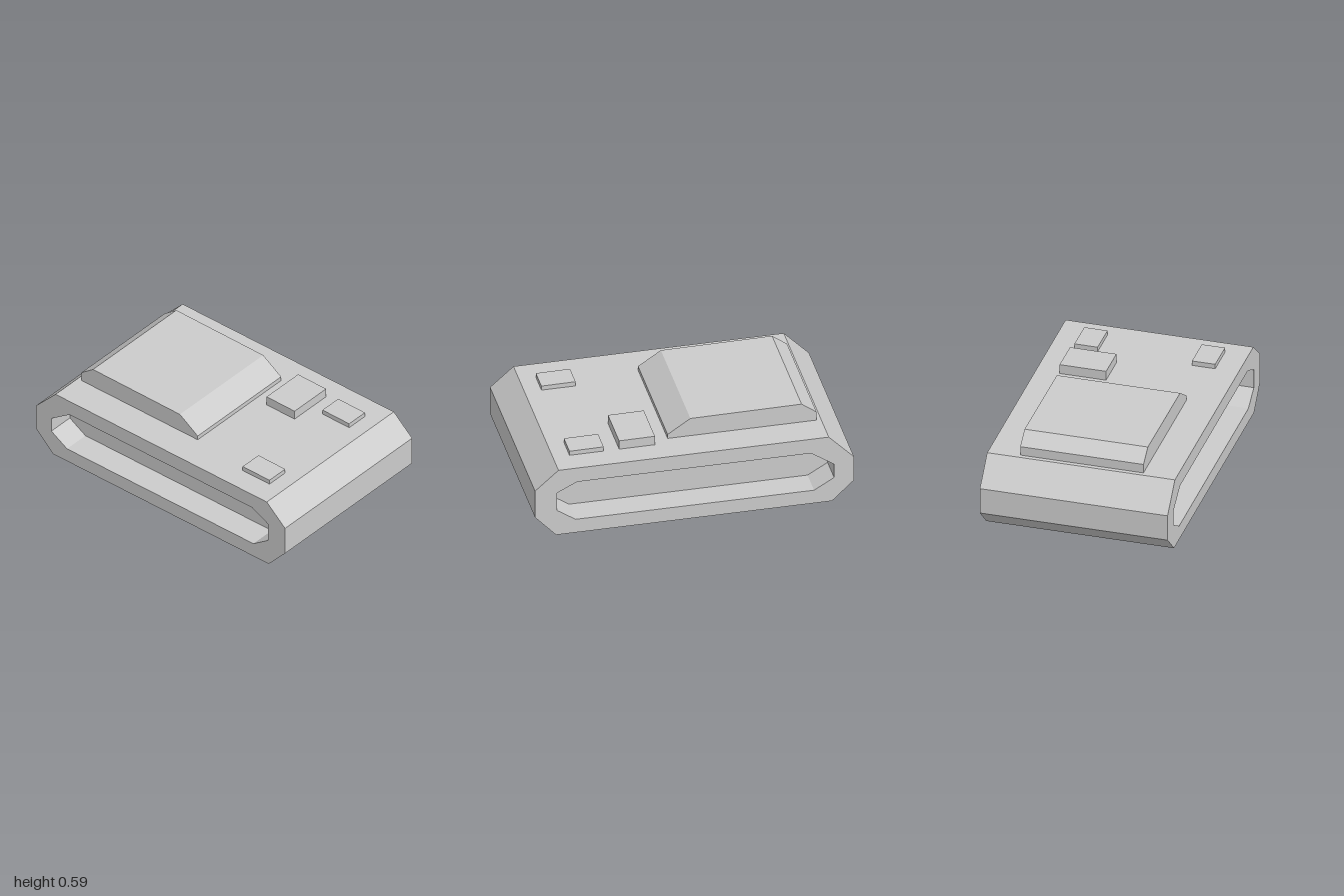
import * as THREE from 'three';

const HALF_WIDTH = 0.585;
const RECESS = 0.17;

export function createModel() {
  const model = new THREE.Group();
  model.name = 'trackedVehicle';
  const material = new THREE.MeshStandardMaterial({ color: 0xcccccc, flatShading: true });

  const add = (name, geometry) => {
    const mesh = new THREE.Mesh(geometry, material);
    mesh.name = name;
    model.add(mesh);
  };

  // Side profile given as [z, y] points, extruded across x from x0 to x1.
  // The hole runs the opposite way round so its walls face inwards.
  const toPoints = (profile) => profile.map(([z, y]) => new THREE.Vector2(-z, y));
  const sideExtrude = (profile, x0, x1, hole) => {
    const shape = new THREE.Shape(toPoints(profile));
    if (hole) shape.holes.push(new THREE.Path(toPoints(hole).reverse()));
    const geometry = new THREE.ExtrudeGeometry(shape, { depth: x1 - x0, bevelEnabled: false });
    return geometry.rotateY(Math.PI / 2).translate(x0, 0, 0);
  };

  // Eight-sided hull, slightly lower at the back
  const hull = [
    [0.979, 0.345], [0.835, 0.472], [-0.825, 0.46], [-0.98, 0.297],
    [-0.98, 0.13], [-0.845, 0.002], [0.85, 0.014], [0.979, 0.157],
  ];
  const recess = [
    [0.845, 0.311], [0.72, 0.373], [-0.715, 0.361], [-0.858, 0.262],
    [-0.858, 0.167], [-0.735, 0.095], [0.73, 0.107], [0.845, 0.188],
  ];
  const core = HALF_WIDTH - RECESS;
  add('hullCore', sideExtrude(hull, -core, core));

  // Track rims leave a long recess in each side
  add('leftTrackRim', sideExtrude(hull, core, HALF_WIDTH, recess));
  add('rightTrackRim', sideExtrude(hull, -HALF_WIDTH, -core, recess));

  // Raised cabin with sloping front and back
  const cabin = [
    [0.118, 0.44], [0.118, 0.495], [-0.022, 0.588],
    [-0.705, 0.588], [-0.797, 0.518], [-0.797, 0.44],
  ];
  add('cabin', sideExtrude(cabin, -0.381, 0.387));

  // Flat hatches on the front deck: name, x, z, width, depth, top
  const hatches = [
    ['largeHatch', 0.293, 0.318, 0.29, 0.22, 0.528],
    ['leftHatch', 0.366, 0.628, 0.145, 0.21, 0.5],
    ['rightHatch', -0.367, 0.627, 0.145, 0.21, 0.5],
  ];
  for (const [name, x, z, width, depth, top] of hatches) {
    const height = top - 0.44;
    add(name, new THREE.BoxGeometry(width, height, depth).translate(x, top - height / 2, z));
  }

  // The whole vehicle is turned slightly to its left
  model.rotation.y = 0.0366;
  return model;
}
